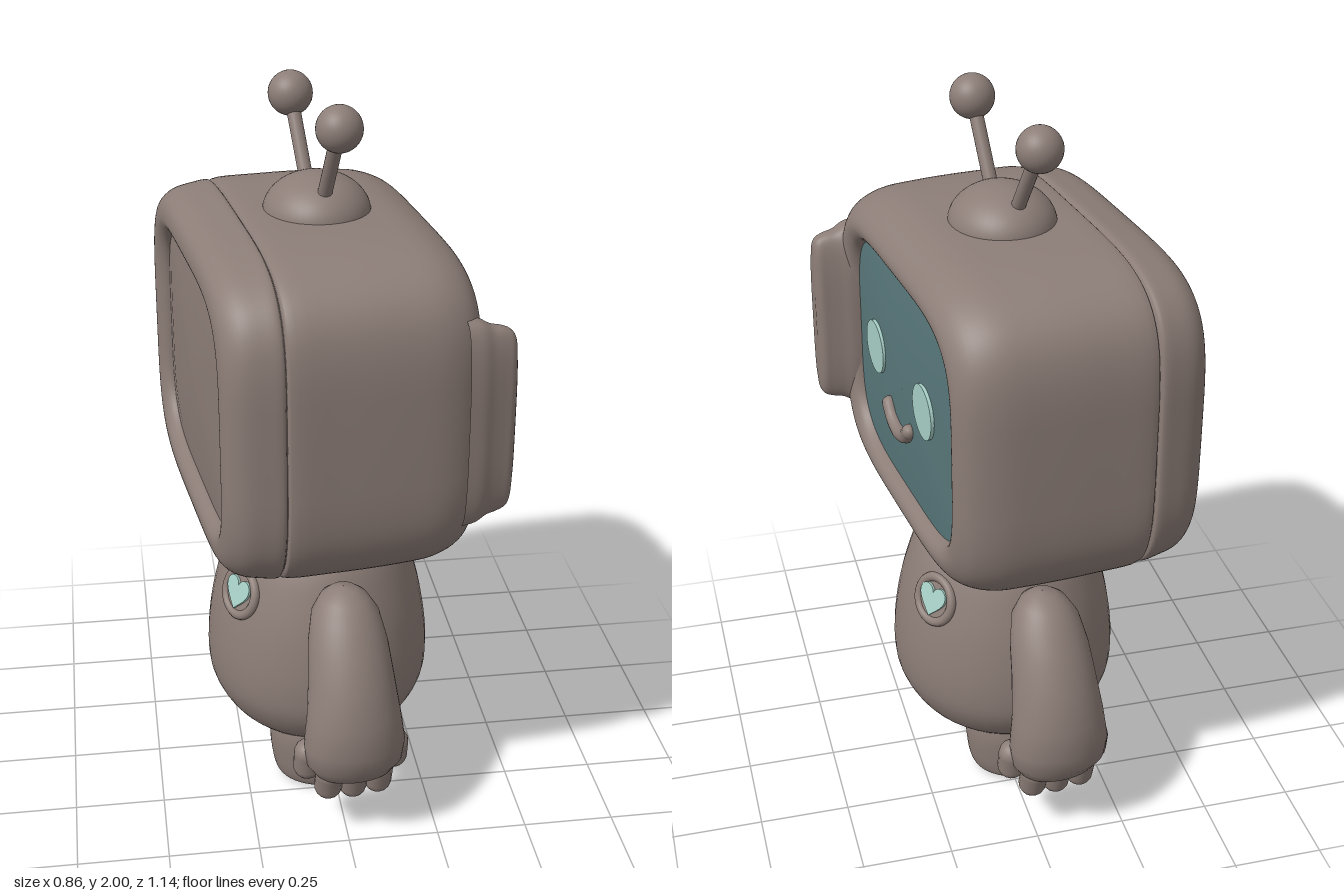
import * as THREE from 'three';

const mat = (name, color) => Object.assign(new THREE.MeshStandardMaterial({ color }), { name });

// Skin through superelliptic rings along x: [x, halfZ, halfY, centreZ = 0], n = squareness
function loft(rings, n, seg = 96) {
  const pos = [], idx = [];
  const pw = v => Math.sign(v) * Math.abs(v) ** (2 / n);
  for (const [x, a, b, cz = 0] of rings)
    for (let j = 0; j < seg; j++) {
      const t = (j / seg) * Math.PI * 2;
      pos.push(x, b * pw(Math.sin(t)), cz + a * pw(Math.cos(t)));
    }
  for (let i = 0; i < rings.length - 1; i++)
    for (let j = 0; j < seg; j++) {
      const k = (j + 1) % seg, p = i * seg, q = p + seg;
      idx.push(p + j, q + j, p + k, q + j, q + k, p + k);
    }
  const g = new THREE.BufferGeometry();
  g.setAttribute('position', new THREE.Float32BufferAttribute(pos, 3));
  g.setIndex(idx);
  g.computeVertexNormals();
  return g;
}

// Finer rings on a smooth curve through the given ones
function smooth(rings) {
  const curve = new THREE.CatmullRomCurve3(rings.map(r => new THREE.Vector3(...r)));
  return curve.getPoints((rings.length - 1) * 4).map(v => v.toArray());
}

function lathe(points) {
  const curve = new THREE.SplineCurve(points.map(p => new THREE.Vector2(...p)));
  return new THREE.LatheGeometry(curve.getPoints(40), 48);
}

export function createModel() {
  const clay = mat('clay brown', 0x8c7d77);
  const glass = mat('screen teal', 0x58777a);
  const glow = mat('pale mint', 0xa6cfc6);
  const dark = mat('sole dark', 0x1c0d0c);

  const root = new THREE.Group();
  root.name = 'screenHeadRobot';
  const add = (parent, name, geo, m, x = 0, y = 0, z = 0) => {
    const mesh = new THREE.Mesh(geo, m);
    mesh.name = name;
    mesh.position.set(x, y, z);
    parent.add(mesh);
    return mesh;
  };

  // Head: back rim, seam groove, rounded front rim, with panels set into both ends
  const head = new THREE.Group();
  head.name = 'head';
  head.position.set(0, 1.23, -0.006);
  head.rotation.y = 0.115;
  root.add(head);
  add(head, 'headShell', loft(smooth([
    [-0.335, 0.42, 0.318], [-0.36, 0.425, 0.322], [-0.38, 0.445, 0.342], [-0.384, 0.47, 0.366],
    [-0.372, 0.505, 0.402], [-0.335, 0.534, 0.428], [-0.28, 0.546, 0.44], [-0.24, 0.549, 0.444],
    [-0.232, 0.538, 0.436], [-0.224, 0.55, 0.445], [-0.1, 0.554, 0.45], [0.08, 0.551, 0.448],
    [0.18, 0.543, 0.44], [0.245, 0.52, 0.415], [0.278, 0.487, 0.382], [0.286, 0.46, 0.355],
    [0.275, 0.43, 0.332], [0.255, 0.417, 0.322], [0.235, 0.414, 0.318],
  ]), 4.3), clay);
  add(head, 'backPanel', loft([
    [-0.366, 0.001, 0.001], [-0.363, 0.2, 0.15], [-0.355, 0.36, 0.27], [-0.348, 0.432, 0.328],
  ], 4.3), clay);
  add(head, 'screen', loft([
    [0.25, 0.424, 0.327], [0.259, 0.3, 0.23], [0.263, 0.15, 0.11], [0.264, 0.001, 0.001],
  ], 4.3), glass, 0, -0.003);
  add(head, 'rimFlap', loft(smooth([
    [0.23, 0.07, 0.285], [0.27, 0.066, 0.278], [0.30, 0.055, 0.262], [0.33, 0.047, 0.255],
    [0.352, 0.042, 0.245], [0.364, 0.03, 0.225], [0.367, 0.001, 0.001],
  ]), 3.2), clay, 0, 0.008, 0.482);

  // Face
  for (const z of [0.22, -0.18]) {
    const eye = add(head, 'eye', new THREE.CylinderGeometry(0.075, 0.075, 0.009, 40), glow, 0.266, 0.022, z);
    eye.rotation.z = -Math.PI / 2;
  }
  const smile = new THREE.CatmullRomCurve3([
    [0.085, -0.098], [0.055, -0.127], [0, -0.143], [-0.055, -0.127], [-0.085, -0.098],
  ].map(([z, y]) => new THREE.Vector3(0.268, y, z + 0.022)));
  add(head, 'smile', new THREE.TubeGeometry(smile, 32, 0.021, 12), clay);
  for (const p of [smile.points[0], smile.points[4]])
    add(head, 'smileEnd', new THREE.SphereGeometry(0.021, 12, 10), clay, p.x, p.y, p.z);

  // Antennae on a dome
  const dome = add(root, 'antennaDome', new THREE.SphereGeometry(1, 40, 20, 0, Math.PI * 2, 0, Math.PI / 2),
    clay, -0.022, 1.665, 0);
  dome.scale.set(0.143, 0.105, 0.158);
  const rods = [
    [[-0.035, 1.70, -0.065], [-0.066, 1.93, -0.195]],
    [[-0.018, 1.70, 0.07], [0.008, 1.94, 0.2]],
  ];
  for (const [a, b] of rods) {
    const line = new THREE.LineCurve3(new THREE.Vector3(...a), new THREE.Vector3(...b));
    add(root, 'antennaRod', new THREE.TubeGeometry(line, 1, 0.019, 16), clay);
    add(root, 'antennaBall', new THREE.SphereGeometry(0.06, 32, 20), clay, ...b);
  }

  // Body
  const body = new THREE.Group();
  body.name = 'body';
  body.position.x = -0.024;
  body.rotation.y = 0.09;
  root.add(body);
  const torso = add(body, 'torso', lathe([
    [0.001, 0.135], [0.16, 0.145], [0.265, 0.18], [0.33, 0.27], [0.344, 0.37], [0.33, 0.5],
    [0.3, 0.62], [0.255, 0.73], [0.18, 0.8], [0.001, 0.83],
  ]), clay);
  torso.scale.x = 0.92;

  // Heart badge, one on each face of the torso
  const heart = new THREE.Shape();
  heart.moveTo(0, -0.048);
  heart.bezierCurveTo(0.02, -0.027, 0.052, -0.005, 0.049, 0.02);
  heart.bezierCurveTo(0.046, 0.048, 0.008, 0.048, 0, 0.022);
  heart.bezierCurveTo(-0.008, 0.048, -0.046, 0.048, -0.049, 0.02);
  heart.bezierCurveTo(-0.052, -0.005, -0.02, -0.027, 0, -0.048);
  for (const s of [1, -1]) {
    const badge = new THREE.Group();
    badge.name = 'heartBadge';
    badge.position.set(s * 0.245, 0.615, s * -0.13);
    badge.lookAt(s * 1.245, 0.965, s * -0.585);
    add(badge, 'badgeRing', new THREE.TorusGeometry(0.064, 0.014, 12, 40), clay);
    add(badge, 'badgeBase', new THREE.CircleGeometry(0.064, 32), clay, 0, 0, 0.006);
    add(badge, 'heart', new THREE.ExtrudeGeometry(heart, { depth: 0.008, bevelEnabled: false }), glow, 0, 0, 0.007);
    body.add(badge);
  }

  // Arms, hands and legs, mirrored across z
  const armGeo = loft([
    [-0.715, 0.001, 0.001, 0.325], [-0.71, 0.035, 0.035, 0.327], [-0.69, 0.068, 0.065, 0.335],
    [-0.65, 0.095, 0.092, 0.35], [-0.58, 0.107, 0.108, 0.383], [-0.5, 0.11, 0.116, 0.42],
    [-0.4, 0.106, 0.128, 0.455], [-0.31, 0.1, 0.14, 0.466], [-0.25, 0.087, 0.132, 0.466],
    [-0.21, 0.062, 0.105, 0.463], [-0.19, 0.001, 0.001, 0.46],
  ], 2, 40).rotateZ(-Math.PI / 2);
  const legGeo = lathe([[0.09, 0], [0.115, 0.018], [0.128, 0.08], [0.13, 0.18], [0.1, 0.3]]);
  const fingers = [ // x, y, z, tilt about x
    [-0.07, 0.186, 0.458, 0.3], [0, 0.178, 0.455, 0.3], [0.07, 0.186, 0.458, 0.3],
    [-0.122, 0.24, 0.425, 0.2], [0.122, 0.24, 0.425, 0.2],
  ];
  for (const s of [1, -1]) {
    const side = new THREE.Group();
    side.name = s > 0 ? 'nearLimbs' : 'farLimbs';
    side.scale.z = s;
    body.add(side);
    add(side, 'arm', armGeo, clay);
    for (const [x, y, z, tilt] of fingers) {
      const f = add(side, 'finger', new THREE.CapsuleGeometry(0.039, 0.05, 8, 16), clay, x, y, z);
      f.rotation.x = tilt;
    }
    const leg = add(side, 'leg', legGeo, clay, -0.005, 0, 0.148);
    leg.scale.x = 1.25;
    const sole = add(side, 'sole', new THREE.CircleGeometry(0.092, 40), dark, -0.005, -0.001, 0.148);
    sole.rotation.x = Math.PI / 2;
    sole.scale.x = 1.25;
  }
  return root;
}
